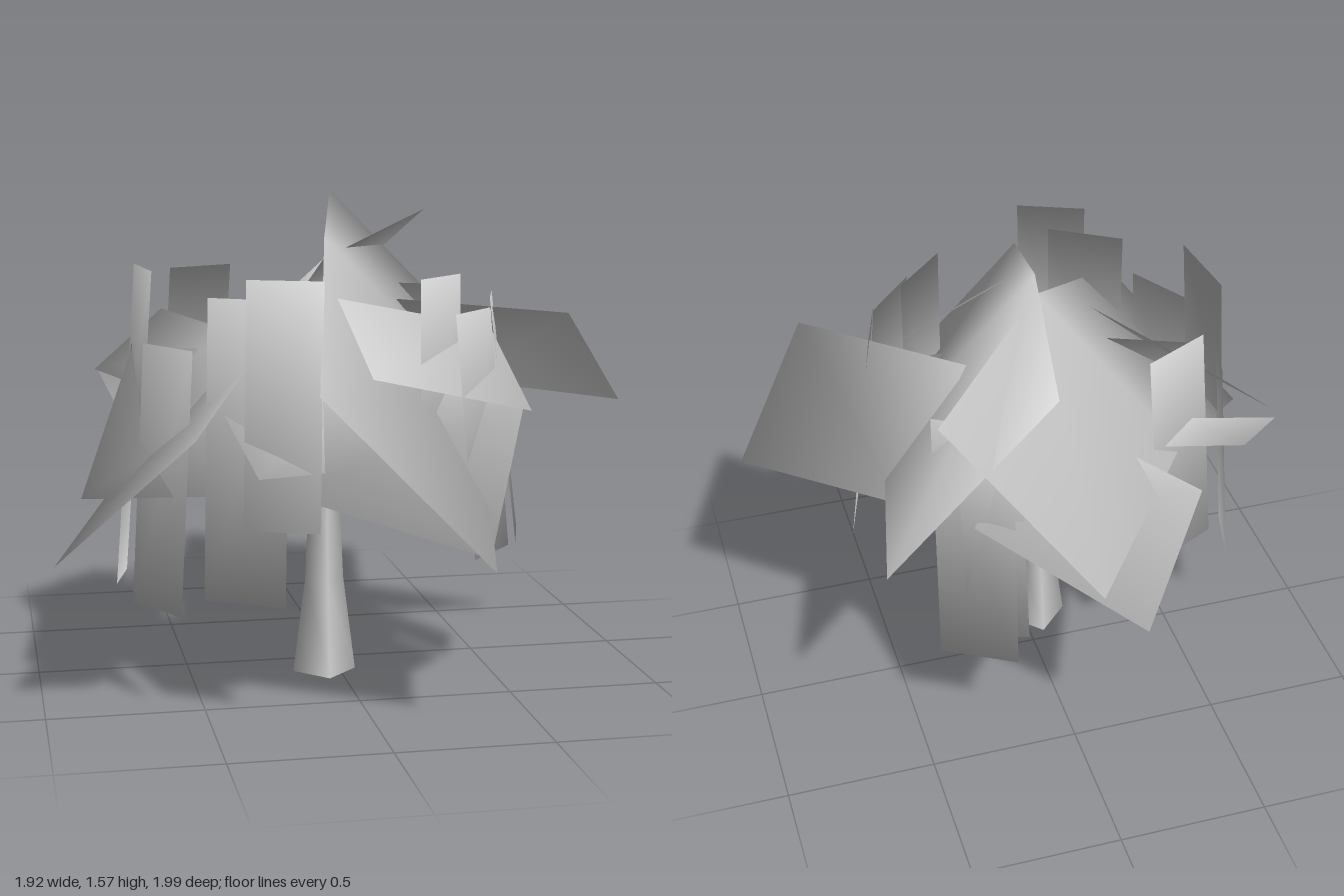
import * as THREE from 'three';

const material = new THREE.MeshStandardMaterial({ color: 0xcccccc, side: THREE.DoubleSide });
const crownCentre = new THREE.Vector3(-0.05, 0.85, 0.15);

// Sheet made from rows of two points, wound outwards, with normals that
// spread from the middle of the crown so the foliage shades as one ball.
function sheet(name, rows) {
  const points = rows.flat().map((p) => new THREE.Vector3(...p));
  const normals = points.map((p) => p.clone().sub(crownCentre).normalize());
  const face = new THREE.Triangle(points[0], points[2], points[1]).getNormal(new THREE.Vector3());
  const average = normals.reduce((sum, n) => sum.add(n), new THREE.Vector3());
  const outward = face.dot(average) > 0;
  const index = [];
  for (let a = 0; a < points.length - 2; a += 2) {
    const quad = [a, a + 2, a + 1, a + 1, a + 2, a + 3];
    index.push(...(outward ? quad : quad.reverse()));
  }
  const geometry = new THREE.BufferGeometry().setFromPoints(points);
  geometry.setAttribute('normal', new THREE.Float32BufferAttribute(normals.flatMap((n) => n.toArray()), 3));
  geometry.setIndex(index);
  const mesh = new THREE.Mesh(geometry, material);
  mesh.name = name;
  return mesh;
}

const add = (p, v) => p.map((n, i) => n + v[i]);

// Long drooping sheet: one edge of three points, swept across by a width vector.
function bentSheet(name, edge, width) {
  return sheet(name, edge.map((p) => [p, add(p, width)]));
}

// Hanging strip: top edge from p to q, dropped along a vector.
function strip(p, q, drop) {
  return sheet('hangingStrip', [[p, q], [add(p, drop), add(q, drop)]]);
}

export function createModel() {
  const model = new THREE.Group();

  // Flared four-sided trunk
  const profile = [[0.106, 0], [0.065, 0.32], [0.05, 0.65], [0.035, 1.3]]
    .map(([r, y]) => new THREE.Vector2(r, y));
  const trunk = new THREE.Mesh(new THREE.LatheGeometry(profile, 4), material);
  trunk.name = 'trunk';
  trunk.position.set(-0.05, 0, 0.145);
  model.add(trunk);

  // Three large bent sheets around the top of the trunk
  const canopy = new THREE.Group();
  canopy.name = 'canopy';
  canopy.add(
    bentSheet('largeFrond', [[0.13, 1.57, -0.7], [-0.05, 1.46, 0.15], [-0.22, 1.07, 0.99]], [0.53, -0.54, 0]),
    bentSheet('largeFrond', [[0.475, 1.5, -0.64], [-0.05, 1.39, 0.14], [-0.57, 0.94, 0.92]], [-0.395, -0.44, -0.36]),
    bentSheet('largeFrond', [[0.34, 0.53, 0.82], [-0.26, 0.71, 0.62], [-0.87, 0.68, 0.42]], [0.19, 0.42, -0.32]),
  );

  // Medium flat fronds: inner edge first, then outer edge
  const fronds = [
    [[[0.22, 1.24, 0.02], [0.52, 0.92, -0.22]], [[0.69, 1.23, 0.44], [0.96, 0.9, 0.17]]],
    [[[0.05, 1.15, -0.12], [0.31, 0.9, -0.39]], [[-0.4, 1.0, -0.53], [-0.14, 0.7, -0.8]]],
    [[[-0.06, 1.29, 0.43], [0.48, 1.17, 0.26]], [[0, 1.07, 0.69], [0.55, 0.93, 0.52]]],
    [[[-0.55, 1.2, -0.2], [-0.31, 1.16, 0.36]], [[-0.78, 1.0, -0.18], [-0.52, 0.96, 0.4]]],
    [[[-0.46, 1.0, 0.52], [-0.11, 1.0, 0.44]], [[-0.37, 0.8, 0.81], [-0.16, 0.8, 0.75]]],
    [[[-0.77, 1.0, -0.23], [-0.4, 1.2, -0.41]], [[-0.7, 0.85, -0.16], [-0.34, 1.05, -0.34]]],
  ];
  for (const rows of fronds) canopy.add(sheet('frond', rows));
  model.add(canopy);

  // Narrow strips hanging around the rim
  const strips = [
    [[-0.38, 1.375, 0.65], [-0.16, 1.375, 0.74], [-0.02, -0.755, 0.04]],
    [[-0.48, 1.31, 0.52], [-0.25, 1.31, 0.66], [-0.03, -0.925, 0.08]],
    [[0.44, 1.28, 0.4], [0.51, 1.28, 0.17], [0.09, -0.8, 0.03]],
    [[0.28, 1.25, 0.59], [0.44, 1.25, 0.41], [0.06, -0.77, 0.04]],
    [[0.18, 1.355, 0.54], [0.35, 1.355, 0.37], [0, -0.8, 0.03]],
    [[0.18, 1.26, -0.39], [0.41, 1.26, -0.26], [0.02, -0.87, -0.11]],
    [[0.16, 1.2, -0.4], [0.35, 1.2, -0.34], [-0.01, -0.745, -0.06]],
    [[-0.66, 1.15, 0.32], [-0.53, 1.15, 0.54], [-0.05, -0.82, 0.05]],
    [[-0.68, 1.12, 0.11], [-0.63, 1.12, -0.09], [-0.06, -0.8, -0.01]],
    [[-0.52, 1.34, -0.17], [-0.3, 1.34, -0.28], [-0.04, -0.77, -0.06]],
    [[-0.66, 1.375, 0.04], [-0.63, 1.375, 0.32], [-0.04, -0.55, 0.01]],
  ];
  const hanging = new THREE.Group();
  hanging.name = 'hangingStrips';
  for (const [p, q, drop] of strips) hanging.add(strip(p, q, drop));
  model.add(hanging);

  return model;
}
